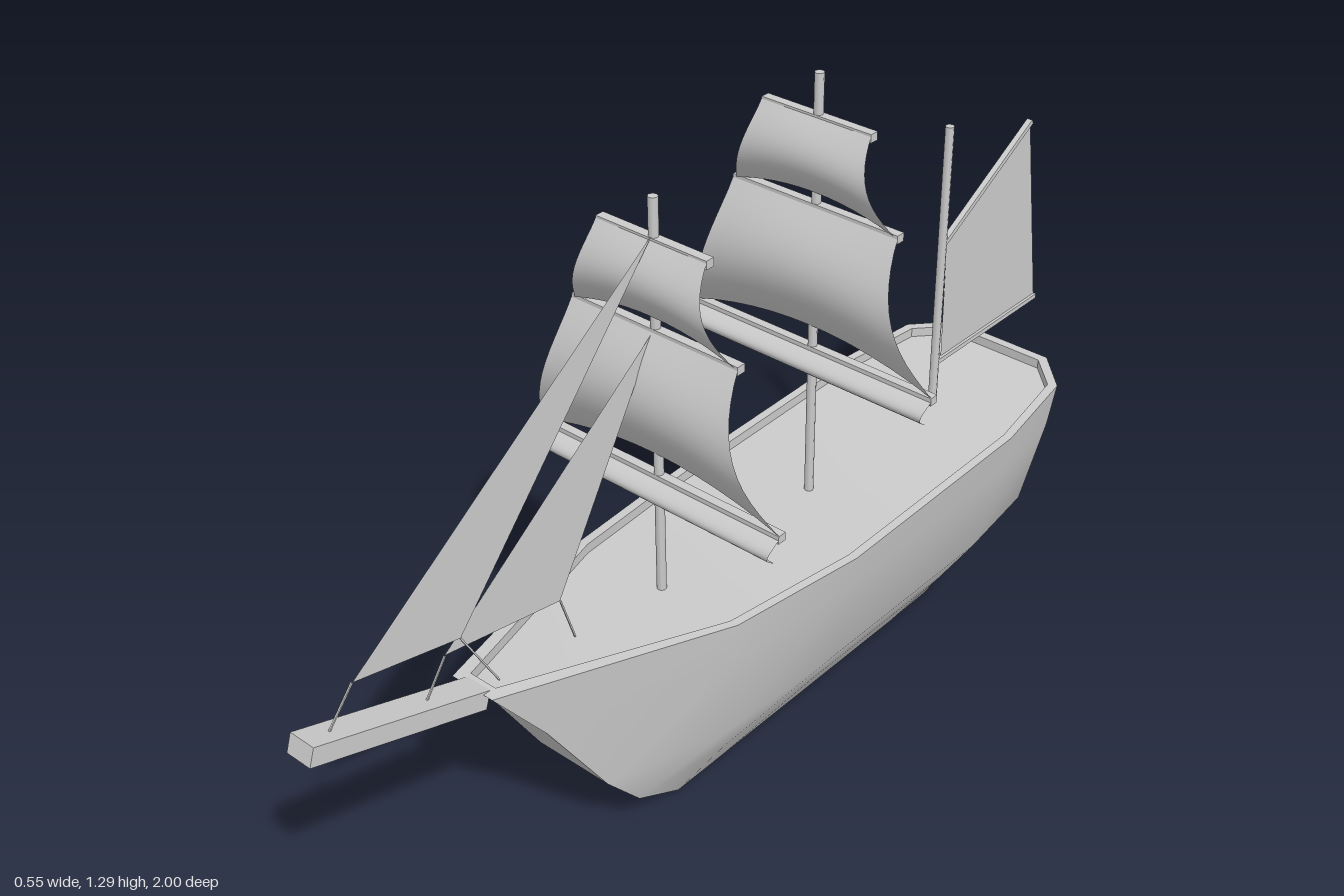
import * as THREE from 'three';
import { toCreasedNormals } from 'three/addons/utils/BufferGeometryUtils.js';

const mat = new THREE.MeshStandardMaterial({ color: 0xcccccc });
const thin = new THREE.MeshStandardMaterial({ color: 0xcccccc, side: THREE.DoubleSide });

function add(parent, name, geo, material = mat) {
  const m = new THREE.Mesh(geo, material);
  m.name = name;
  parent.add(m);
  return m;
}

// square beam between two points of the centre plane, given as [z, y]
function beam(parent, name, [z0, y0], [z1, y1], width, height) {
  const m = add(parent, name, new THREE.BoxGeometry(width, height, Math.hypot(z1 - z0, y1 - y0)));
  m.position.set(0, (y0 + y1) / 2, (z0 + z1) / 2);
  m.rotation.x = -Math.atan2(y1 - y0, z1 - z0);
}

// flat sail in the centre plane, outline given as [z, y]
function flatSail(parent, name, pts, x = 0) {
  const geo = new THREE.ShapeGeometry(new THREE.Shape(pts.map(([z, y]) => new THREE.Vector2(-z, y))));
  const m = add(parent, name, geo.rotateY(Math.PI / 2), thin);
  m.position.x = x;
}

// hull half-sections from keel to rim, each running bow to stern as [x, y, z]
function hullGeometry() {
  const level = (y, pts) => pts.map(([x, z]) => [x, y, z]);
  const rim = [[.047, .5, .65], [.19, .455, .2], [.22, .443, -.1], [.22, .453, -.6], [.19, .462, -.81], [.115, .465, -.885]];
  const inset = (drop) => rim.map(([x, y, z], i) =>
    [x - (i === 5 ? .008 : .018), y - drop, z + (i === 0 ? -.025 : i === 5 ? .02 : i === 4 ? .008 : 0)]);
  const halves = [
    level(0, [[.06, .22], [.06, .1], [.06, -.1], [.06, -.45], [.058, -.57], [.04, -.61]]),
    level(.1, [[.093, .36], [.118, .15], [.123, -.1], [.123, -.52], [.1, -.7], [.06, -.765]]),
    level(.18, [[.084, .43], [.155, .18], [.17, -.1], [.17, -.57], [.145, -.775], [.09, -.84]]),
    level(.37, [[.065, .55], [.182, .2], [.207, -.1], [.207, -.6], [.18, -.8], [.11, -.875]]),
    rim, inset(0), inset(.02),
  ];
  const rings = halves.map(h => [...h, ...[...h].reverse().map(([x, y, z]) => [-x, y, z])]);
  const n = rings[0].length, idx = [];
  for (let r = 0; r < rings.length - 1; r++)
    for (let j = 0; j < n; j++) {
      const a = r * n + j, b = r * n + (j + 1) % n;
      idx.push(a, b, b + n, a, b + n, a + n);
    }
  // keel plate and deck
  const top = (rings.length - 1) * n;
  for (let k = 0; k < n / 2 - 1; k++) {
    const a = k, b = k + 1, c = n - 2 - k, d = n - 1 - k;
    idx.push(a, c, b, a, d, c);
    idx.push(top + a, top + b, top + c, top + a, top + c, top + d);
  }
  const geo = new THREE.BufferGeometry();
  geo.setAttribute('position', new THREE.Float32BufferAttribute(rings.flat(2), 3));
  geo.setIndex(idx);
  return toCreasedNormals(geo, .6);
}

// billowing square sail: half widths w0 (top) to w1 (bottom), foot arched upward
function squareSail(parent, name, z, y0, y1, w0, w1, bulge, arch) {
  const geo = new THREE.PlaneGeometry(2, 1, 12, 12);
  const p = geo.attributes.position;
  for (let i = 0; i < p.count; i++) {
    const u = p.getX(i), s = .5 - p.getY(i);
    const w = w0 + (w1 - w0) * s ** 1.5;
    p.setXYZ(i, u * w, y0 + (y1 - y0) * s + arch * (1 - u * u) * s, z + bulge * Math.sin(Math.PI * s));
  }
  geo.computeVertexNormals();
  add(parent, name, geo, thin);
}

function yard(parent, y, z, half) {
  add(parent, 'yard', new THREE.BoxGeometry(half * 2, .016, .018)).position.set(0, y, z);
}

export function createModel() {
  const ship = new THREE.Group();
  ship.name = 'sailingShip';
  add(ship, 'hull', hullGeometry());
  beam(ship, 'bowsprit', [.64, .483], [.995, .603], .054, .036);

  // masts
  const masts = [['foreMast', .188, 1.22], ['mainMast', -.235, 1.29], ['mizzenMast', -.64, 1.045]];
  for (const [name, z, top] of masts)
    add(ship, name, new THREE.CylinderGeometry(.009, .009, top - .42, 8)).position.set(0, (top + .42) / 2, z);

  // square rig on the two forward masts
  for (const [name, z, top] of [['foreRig', .188, 1.145], ['mainRig', -.235, 1.21]]) {
    const rig = new THREE.Group();
    rig.name = name;
    ship.add(rig);
    const f = z + .008;
    squareSail(rig, 'topSail', f, top, top - .172, .12, .178, .035, .028);
    squareSail(rig, 'mainSail', f, top - .172, top - .46, .185, .275, .05, .045);
    squareSail(rig, 'furledSail', f, top - .468, top - .52, .275, .265, .026, 0);
    yard(rig, top - .005, z, .12);
    yard(rig, top - .175, z, .185);
    yard(rig, top - .468, z, .275);
  }

  // fore-and-aft sail with its gaff and boom
  const peak = [-.925, .955], clew = [-1, .523], throat = [-.655, .8], tack = [-.66, .523];
  flatSail(ship, 'spanker', [throat, peak, clew, tack]);
  beam(ship, 'gaff', [-.64, .792], peak, .012, .01);
  beam(ship, 'boom', [-.64, .523], clew, .012, .01);

  // jibs and their lines
  flatSail(ship, 'outerJib', [[.19, 1.155], [.885, .665], [.665, .615]], .001);
  flatSail(ship, 'innerJib', [[.19, .975], [.7, .6], [.44, .555]], -.001);
  const lines = [[[.885, .665], [.94, .6]], [[.665, .615], [.59, .48]], [[.7, .6], [.75, .53]], [[.44, .555], [.41, .46]]];
  for (const [a, b] of lines) beam(ship, 'jibLine', a, b, .003, .003);
  return ship;
}
